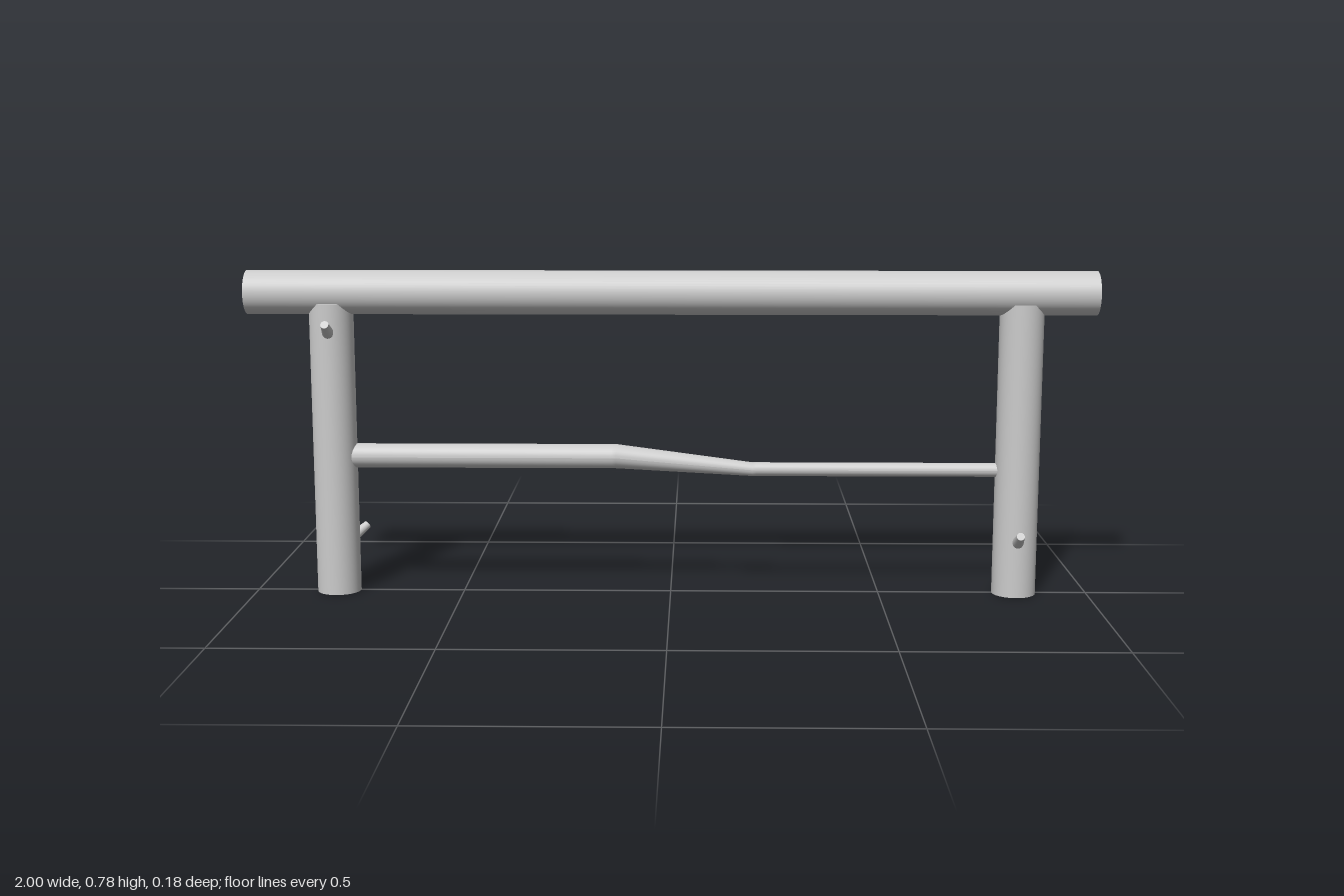
import * as THREE from 'three';

const material = new THREE.MeshStandardMaterial({ color: 0xcccccc });
const R = 0.052;        // log radius
const Z = 0.003;        // shared centre plane of the logs
const POST_X = [-0.803, 0.826];

function add(group, name, geometry) {
  const mesh = new THREE.Mesh(geometry, material);
  mesh.name = name;
  group.add(mesh);
  return mesh;
}

// Tapered branch stub leaning upward out of a post; heading 0 faces +z, 90 degrees faces +x
function addStub(group, name, postX, tipY, reach, headingDeg) {
  const heading = THREE.MathUtils.degToRad(headingDeg);
  const pitch = THREE.MathUtils.degToRad(32);
  const length = 0.065;
  const dir = new THREE.Vector3(
    Math.sin(heading) * Math.cos(pitch), Math.sin(pitch), Math.cos(heading) * Math.cos(pitch));
  const tip = new THREE.Vector3(
    postX + Math.sin(heading) * reach, tipY, Z + Math.cos(heading) * reach);
  const stub = add(group, name, new THREE.CylinderGeometry(0.0095, 0.016, length, 20));
  stub.position.copy(tip).addScaledVector(dir, -length / 2);
  stub.quaternion.setFromUnitVectors(new THREE.Vector3(0, 1, 0), dir);
}

// Crooked pole: rings of a cylinder moved to stations [x, y, radius]
function crookedPole(stations) {
  const rows = stations.length - 1;
  const g = new THREE.CylinderGeometry(1, 1, 1, 32, rows, true).rotateZ(-Math.PI / 2);
  const p = g.attributes.position;
  for (let i = 0; i < p.count; i++) {
    const [x, y, r] = stations[Math.round((p.getX(i) + 0.5) * rows)];
    p.setXYZ(i, x, y + p.getY(i) * r, Z + p.getZ(i) * r);
  }
  return g;
}

export function createModel() {
  const group = new THREE.Group();
  group.name = 'logFence';

  // Top log
  const top = add(group, 'topRail', new THREE.CylinderGeometry(R, R, 2, 48).rotateZ(-Math.PI / 2));
  top.position.set(0, 0.724, Z);

  // Upright posts, let into the underside of the top log
  POST_X.forEach((x, i) => {
    const post = add(group, i ? 'leftPost' : 'rightPost', new THREE.CylinderGeometry(R, R, 0.7, 48));
    post.position.set(x, 0.35, Z);
  });

  // Lower pole, thinning and dropping in the middle (doubled rings keep the bends crisp)
  add(group, 'lowerRail', crookedPole([
    [-0.8, 0.332, 0.029], [-0.14, 0.332, 0.029], [-0.13, 0.332, 0.029],
    [0.195, 0.3015, 0.0165], [0.205, 0.3015, 0.0165], [0.82, 0.3015, 0.0165],
  ])).geometry.computeVertexNormals();

  // Branch stubs
  addStub(group, 'rightPostUpperStub', POST_X[0], 0.656, 0.084, 0);
  addStub(group, 'rightPostLowerStub', POST_X[0], 0.152, 0.08, 127);
  addStub(group, 'leftPostUpperStub', POST_X[1], 0.541, 0.0915, 161);
  addStub(group, 'leftPostLowerStub', POST_X[1], 0.158, 0.084, 0);

  return group;
}
